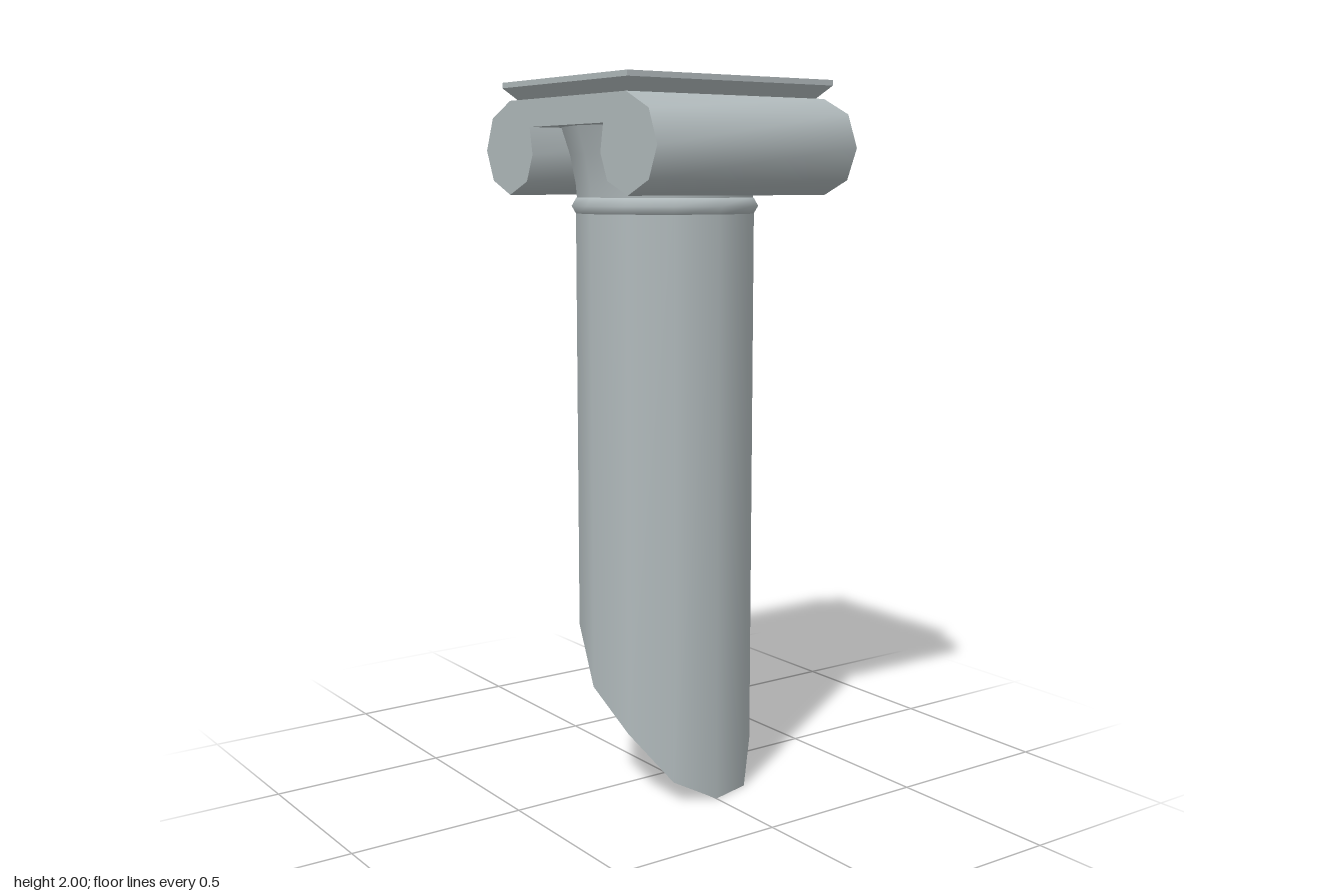
import * as THREE from 'three';
import { toCreasedNormals } from 'three/addons/utils/BufferGeometryUtils.js';

const SIDES = 12, RADIUS = 0.25;
// Height of the broken lower rim at each corner, going round from +z towards +x
const RIM = [0.31, 0.2, 0.065, 0, 0, 0.1, 0.27, 0.41, 0.53, 0.58, 0.55, 0.46];

function rimHeight(x, z) {
  if (Math.hypot(x, z) < 0.01) return 0.26;
  const step = Math.round((Math.atan2(x, z) / (Math.PI * 2)) * SIDES);
  return RIM[(step + SIDES) % SIDES];
}

export function createModel() {
  const group = new THREE.Group();
  const stone = new THREE.MeshStandardMaterial({ color: 0xb0b9bb });
  stone.name = 'grey stone';
  const add = (name, geometry) => {
    const mesh = new THREE.Mesh(geometry, stone);
    mesh.name = name;
    group.add(mesh);
    return mesh;
  };

  // Shaft, its lower edge broken off at a slant
  const shaft = new THREE.CylinderGeometry(RADIUS, RADIUS, 2, SIDES, 1, true);
  const sp = shaft.attributes.position;
  for (let i = 0; i < sp.count; i++) {
    sp.setY(i, sp.getY(i) > 0 ? 1.67 : rimHeight(sp.getX(i), sp.getZ(i)));
  }
  add('shaft', shaft);

  // Jagged broken face closing the bottom
  const broken = new THREE.CircleGeometry(RADIUS, SIDES).rotateX(Math.PI / 2).toNonIndexed();
  const bp = broken.attributes.position;
  for (let i = 0; i < bp.count; i++) bp.setY(i, rimHeight(bp.getX(i), bp.getZ(i)));
  broken.computeVertexNormals();
  add('brokenFace', broken);

  // Ring moulding and the flared neck above it
  const ring = new THREE.TorusGeometry(0.235, 0.027, 6, SIDES);
  ring.rotateX(Math.PI / 2).rotateY(Math.PI / SIDES * 2);
  add('ring', ring).position.y = 1.66;
  const neck = [[0.245, 1.66], [0.25, 1.72], [0.265, 1.8], [0.29, 1.88]];
  add('neck', new THREE.LatheGeometry(neck.map(([r, y]) => new THREE.Vector2(r, y)), SIDES));

  // Pair of scrolls joined by a flat band, extruded from front to back
  const half = [[0.29, 1.95], [0.39, 1.905], [0.427, 1.815], [0.39, 1.73],
    [0.297, 1.69], [0.203, 1.727], [0.171, 1.8], [0.185, 1.875]];
  const outline = [...half, ...half.map(([x, y]) => [-x, y]).reverse()];
  const scrolls = new THREE.ExtrudeGeometry(
    new THREE.Shape(outline.map(([x, y]) => new THREE.Vector2(x, y))),
    { depth: 0.654, bevelEnabled: false });
  scrolls.translate(0, 0, -0.327);
  add('scrolls', toCreasedNormals(scrolls, 0.95));

  // Square top slab: a sloped underside and a thin upright edge
  const slope = new THREE.BoxGeometry(0.626, 0.035, 0.676);
  const p = slope.attributes.position;
  for (let i = 0; i < p.count; i++) {
    if (p.getY(i) > 0) continue;
    p.setX(i, Math.sign(p.getX(i)) * 0.28);
    p.setZ(i, Math.sign(p.getZ(i)) * 0.305);
  }
  slope.computeVertexNormals();
  add('slabSlope', slope).position.y = 1.9675;
  add('slab', new THREE.BoxGeometry(0.626, 0.015, 0.676)).position.y = 1.9925;

  return group;
}
